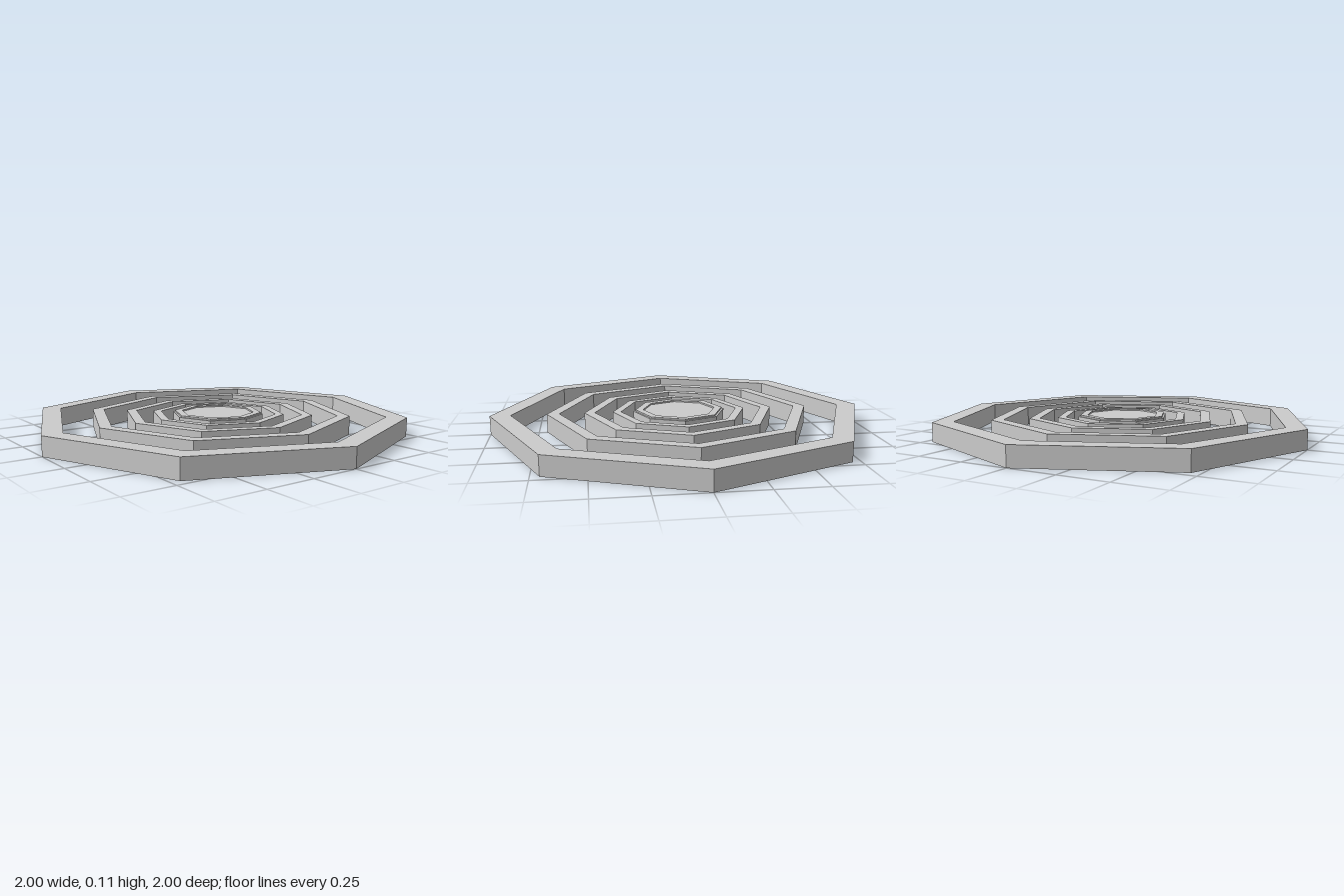
import * as THREE from 'three';

// Octagonal part turned from a [radius, height] profile, with corners on the axes.
function octagon(name, profile) {
  const points = profile.map(([r, y]) => new THREE.Vector2(r, y));
  const material = new THREE.MeshStandardMaterial({
    color: 0xcccccc, flatShading: true, side: THREE.DoubleSide,
  });
  const mesh = new THREE.Mesh(new THREE.LatheGeometry(points, 8), material);
  mesh.name = name;
  return mesh;
}

export function createModel() {
  const group = new THREE.Group();
  group.name = 'concentricOctagons';
  const height = 0.1;

  // Concentric rings: walls and a top, open underneath
  const rings = [[1, 0.893], [0.706, 0.641], [0.508, 0.453], [0.358, 0.314]];
  rings.forEach(([outer, inner], i) => {
    group.add(octagon(`ring${i + 1}`, [
      [outer, 0], [outer, height], [inner, height], [inner, 0],
    ]));
  });

  // Central cap, open underneath, with a low raised lip on its top
  const lip = height + 0.008;
  group.add(octagon('centreCap', [
    [0.246, 0], [0.246, height], [0.235, height], [0.235, lip],
    [0.195, lip], [0.195, height], [0, height],
  ]));

  return group;
}
